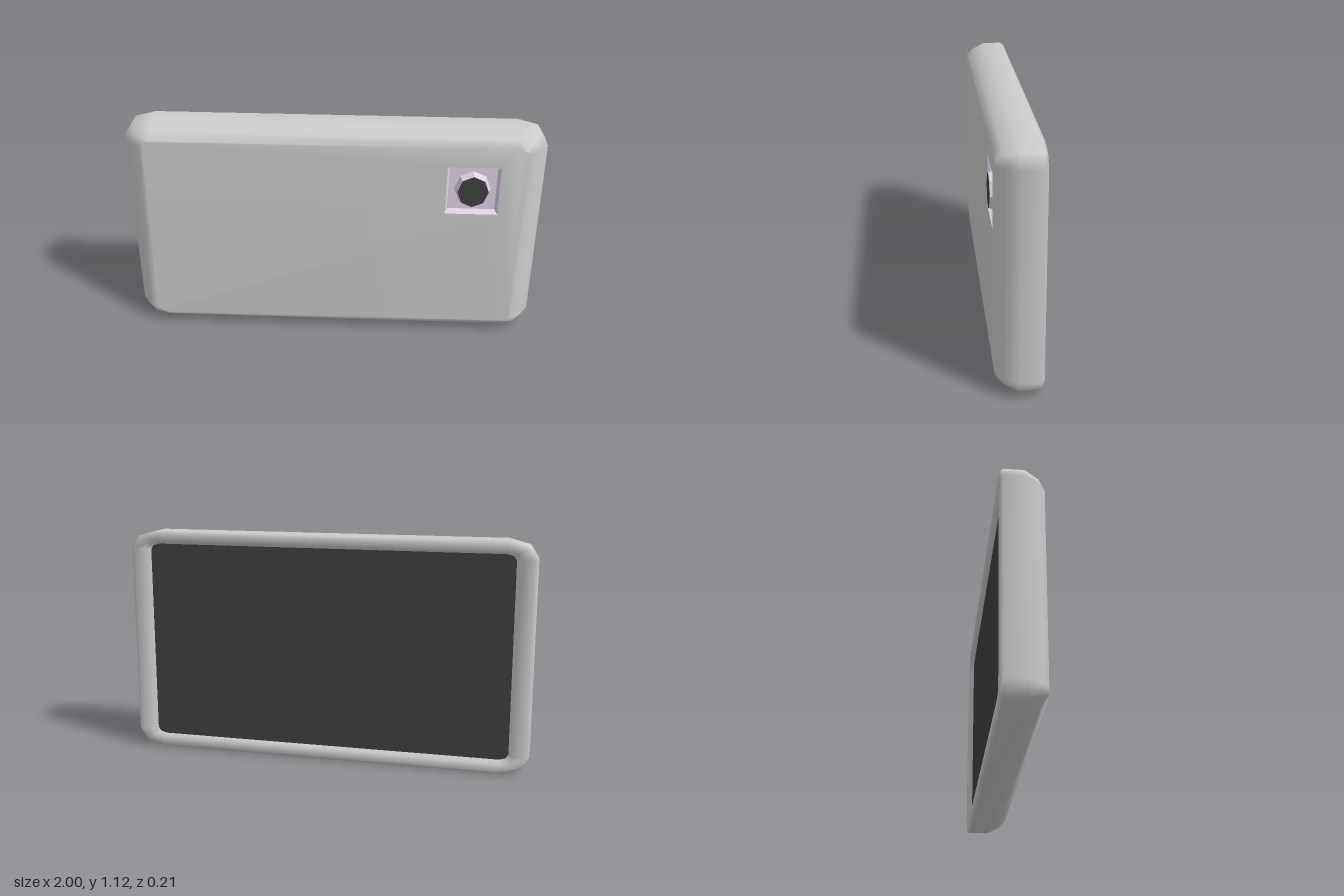
import * as THREE from 'three';

const W = 1, H = 0.5615;            // half width and half height
const RX = 0.14, RY = 0.09;         // corner radii
const CAM = { x: 0.66, y: 0.83 - H, r: 0.125 };

const grey = new THREE.MeshStandardMaterial({ color: 0xcccccc });
const dark = new THREE.MeshStandardMaterial({ color: 0x404040 });
const tint = (side) => new THREE.MeshStandardMaterial({ color: 0xe0d0e8, flatShading: true, side });

// Rounded rectangle, counter-clockwise from +z, three points per corner
function outline(ix, iy) {
  const rx = Math.max(RX - ix, 0.045), ry = Math.max(RY - iy, 0.03);
  const points = [];
  for (let corner = 0; corner < 4; corner++) {
    const sx = corner === 0 || corner === 3 ? 1 : -1;
    const sy = corner < 2 ? 1 : -1;
    for (let j = 0; j < 3; j++) {
      const a = corner * Math.PI / 2 + j * Math.PI / 4;
      points.push(new THREE.Vector2(
        sx * (W - ix - rx) + rx * Math.cos(a),
        sy * (H - iy - ry) + ry * Math.sin(a)));
    }
  }
  return points;
}

// Shell: outlines stacked front to back, closed at the front around the camera opening
function shellGeometry() {
  const sections = [ // inset x, inset y, z
    [0.092, 0.065, 0.098], [0.044, 0.032, 0.068], [0, 0, 0.005], [0, 0, -0.09],
    [0.02, 0.014, -0.105], [0.07, 0.05, -0.105], [0.098, 0.066, -0.08],
  ];
  const positions = [], index = [], n = 12;
  sections.forEach(([ix, iy, z]) => outline(ix, iy).forEach(p => positions.push(p.x, p.y, z)));
  for (let k = 0; k < sections.length - 1; k++) {
    for (let i = 0; i < n; i++) {
      const j = (i + 1) % n;
      const a = k * n + i, b = k * n + j, c = b + n, d = a + n;
      index.push(a, d, c, a, c, b);
    }
  }
  const front = outline(sections[0][0], sections[0][1]);
  const hole = [[-1, -1], [-1, 1], [1, 1], [1, -1]].map(([x, y]) =>
    new THREE.Vector2(CAM.x + x * CAM.r, CAM.y + y * CAM.r));
  const first = positions.length / 3;
  hole.forEach(p => positions.push(p.x, p.y, sections[0][2]));
  const id = i => (i < n ? i : first + i - n);
  THREE.ShapeUtils.triangulateShape(front, [hole]).forEach(t => index.push(...t.map(id)));
  const geometry = new THREE.BufferGeometry();
  geometry.setAttribute('position', new THREE.Float32BufferAttribute(positions, 3));
  geometry.setIndex(index);
  geometry.computeVertexNormals();
  return geometry;
}

export function createModel() {
  const model = new THREE.Group();
  model.name = 'phone';
  const add = (parent, name, geometry, material, x = 0, y = 0, z = 0) => {
    const mesh = new THREE.Mesh(geometry, material);
    mesh.name = name;
    mesh.position.set(x, y, z);
    parent.add(mesh);
    return mesh;
  };

  add(model, 'shell', shellGeometry(), grey, 0, H, 0);

  // Screen set into the back rim
  const screen = new THREE.ShapeGeometry(new THREE.Shape(outline(0.098, 0.066)));
  add(model, 'screen', screen.rotateY(Math.PI), dark, 0, H, -0.08);

  // Camera: tapered square recess, plate, raised eight-sided lens
  const camera = new THREE.Group();
  camera.name = 'camera';
  camera.position.set(CAM.x, CAM.y + H, 0);
  model.add(camera);
  const depth = 0.032, inner = 0.113;
  const walls = new THREE.CylinderGeometry(CAM.r * Math.SQRT2, inner * Math.SQRT2, depth, 4, 1, true);
  walls.rotateY(Math.PI / 4).rotateX(Math.PI / 2);
  add(camera, 'recessWalls', walls, tint(THREE.BackSide), 0, 0, 0.098 - depth / 2);
  add(camera, 'cameraPlate', new THREE.PlaneGeometry(inner * 2, inner * 2), tint(THREE.FrontSide), 0, 0, 0.098 - depth);
  const housing = new THREE.CylinderGeometry(0.076, 0.086, 0.038, 8).rotateX(Math.PI / 2).scale(1, 1.06, 1);
  add(camera, 'lensHousing', housing, tint(THREE.FrontSide), 0, 0, 0.085);
  add(camera, 'lens', new THREE.CircleGeometry(0.074, 8).scale(1, 1.1, 1), dark, 0, 0, 0.1055);

  return model;
}
